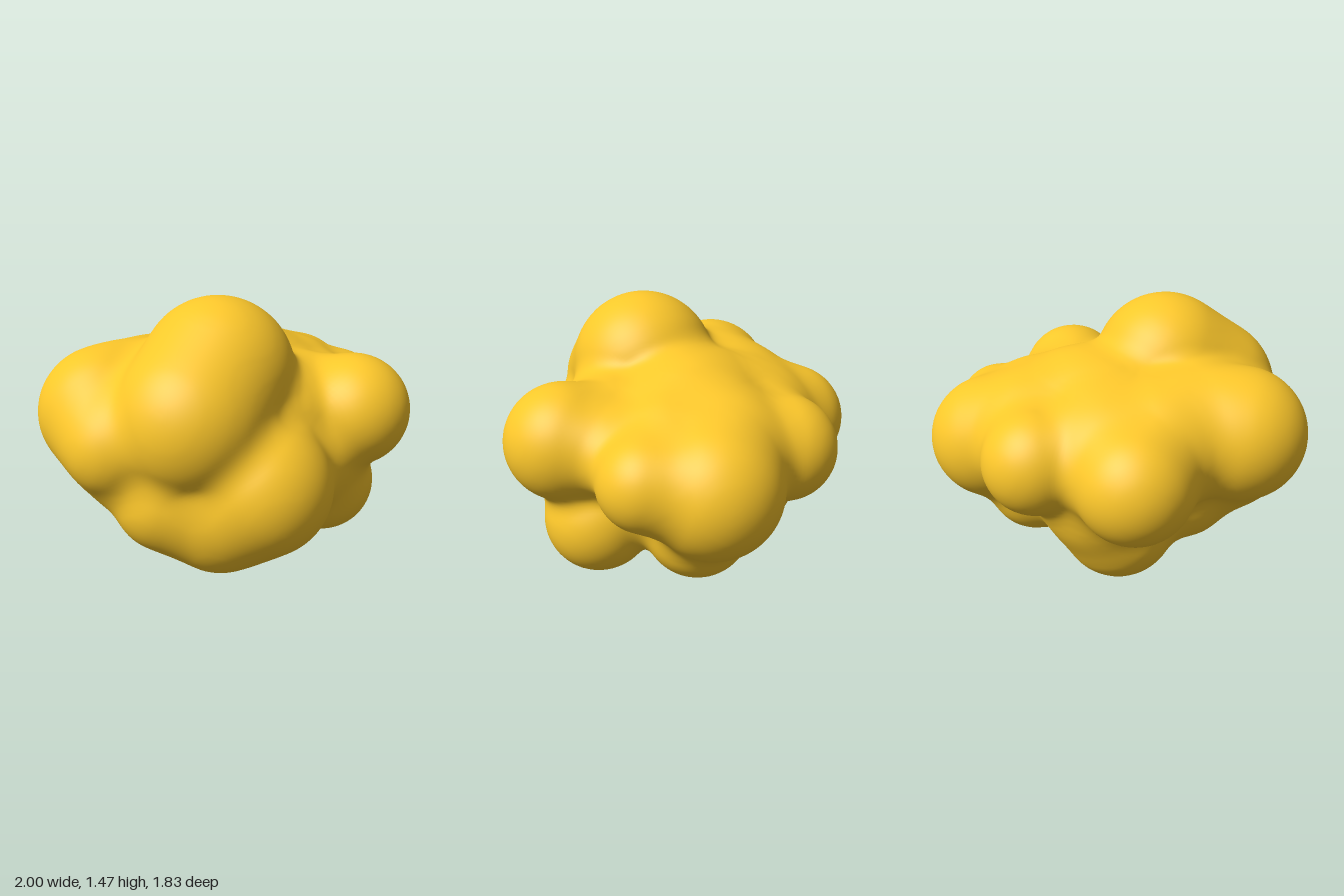
import * as THREE from 'three';
import { mergeVertices } from 'three/addons/utils/BufferGeometryUtils.js';

// Lobes of the cluster: x, y, z, radius
const LOBES = [
  [0.03, 0.69, -0.13, 0.54],   // core
  [-0.09, 1.08, 0.26, 0.395],  // crown
  [-0.26, 0.92, 0.43, 0.395],  // crown, front slope
  [0.06, 0.57, 0.55, 0.365],   // front
  [-0.65, 0.86, 0.08, 0.35],   // right side
  [-0.62, 0.78, 0.32, 0.28],   // right side, front
  [-0.38, 0.50, 0.40, 0.295],  // lower front right
  [-0.12, 0.42, 0.44, 0.345],  // front underside
  [0.63, 0.85, 0.34, 0.30],    // upper left
  [0.52, 0.40, 0.22, 0.29],    // lower left
  [0.765, 0.79, -0.19, 0.235], // outer left
  [0.58, 0.73, -0.45, 0.34],   // back left
  [0.42, 0.43, -0.30, 0.28],   // lower back left
  [0.11, 0.79, -0.64, 0.275],  // back
  [-0.40, 0.76, -0.52, 0.30],  // back right
  [-0.11, 0.32, -0.24, 0.32],  // underside
];

// Softer fill that bridges the gaps between neighbouring lobes
const FILL = [
  [0.40, 0.83, 0.15, 0.30],    // core to upper left
  [0.48, 0.84, -0.18, 0.29],   // core to outer left
  [0.62, 0.84, 0.08, 0.21],    // upper left to outer left
  [0.20, 0.86, -0.14, 0.36],   // plateau behind the crown
  [0.24, 0.85, 0.30, 0.27],    // crown to upper left
  [0.38, 0.61, 0.31, 0.29],    // front to upper and lower left
  [0.43, 0.59, 0.00, 0.26],    // lower left to lower back left
  [-0.45, 0.89, -0.02, 0.32],  // crown to right side
  [-0.54, 0.62, 0.20, 0.27],   // right side to lower front right
  [-0.35, 0.83, -0.22, 0.34],  // core to back right
  [-0.14, 0.81, -0.40, 0.32],  // back right to back
  [0.33, 0.81, -0.40, 0.33],   // back to back left
  [-0.08, 0.50, -0.38, 0.27],  // underside to back
  [-0.30, 0.47, 0.08, 0.32],   // underside to right side
  [-0.07, 0.40, 0.17, 0.33],   // underside to front underside
];
const BLOBS = [...LOBES, ...FILL];
const BLEND = 0.1;

// Distance to the softly blended lobes
function distance(p) {
  let d = Infinity;
  for (const [x, y, z, r] of BLOBS) {
    const e = Math.hypot(p.x - x, p.y - y, p.z - z) - r;
    const h = Math.max(BLEND - Math.abs(d - e), 0);
    d = Math.min(d, e) - (h * h) / (4 * BLEND);
  }
  return d;
}

function blobGeometry() {
  let geometry = new THREE.IcosahedronGeometry(1, 48);
  geometry.deleteAttribute('normal');
  geometry.deleteAttribute('uv');
  geometry = mergeVertices(geometry, 1e-5);

  // Shrink a sphere onto the lobes, moving each vertex in along its ray
  const centre = new THREE.Vector3(0.05, 0.7, 0);
  const pos = geometry.attributes.position;
  const dir = new THREE.Vector3();
  const p = new THREE.Vector3();
  for (let i = 0; i < pos.count; i++) {
    dir.fromBufferAttribute(pos, i).normalize();
    let t = 1.5;
    for (let step = 0; step < 80; step++) {
      p.copy(centre).addScaledVector(dir, t);
      const d = distance(p);
      if (d < 0.0005) break;
      t -= d;
    }
    pos.setXYZ(i, p.x, p.y, p.z);
  }
  geometry.computeVertexNormals();
  return geometry;
}

export function createModel() {
  const group = new THREE.Group();
  group.name = 'lumpyCluster';
  const body = new THREE.Mesh(blobGeometry(), new THREE.MeshStandardMaterial({ color: 0xfdc82b }));
  body.name = 'lumpyBody';
  group.add(body);
  return group;
}
